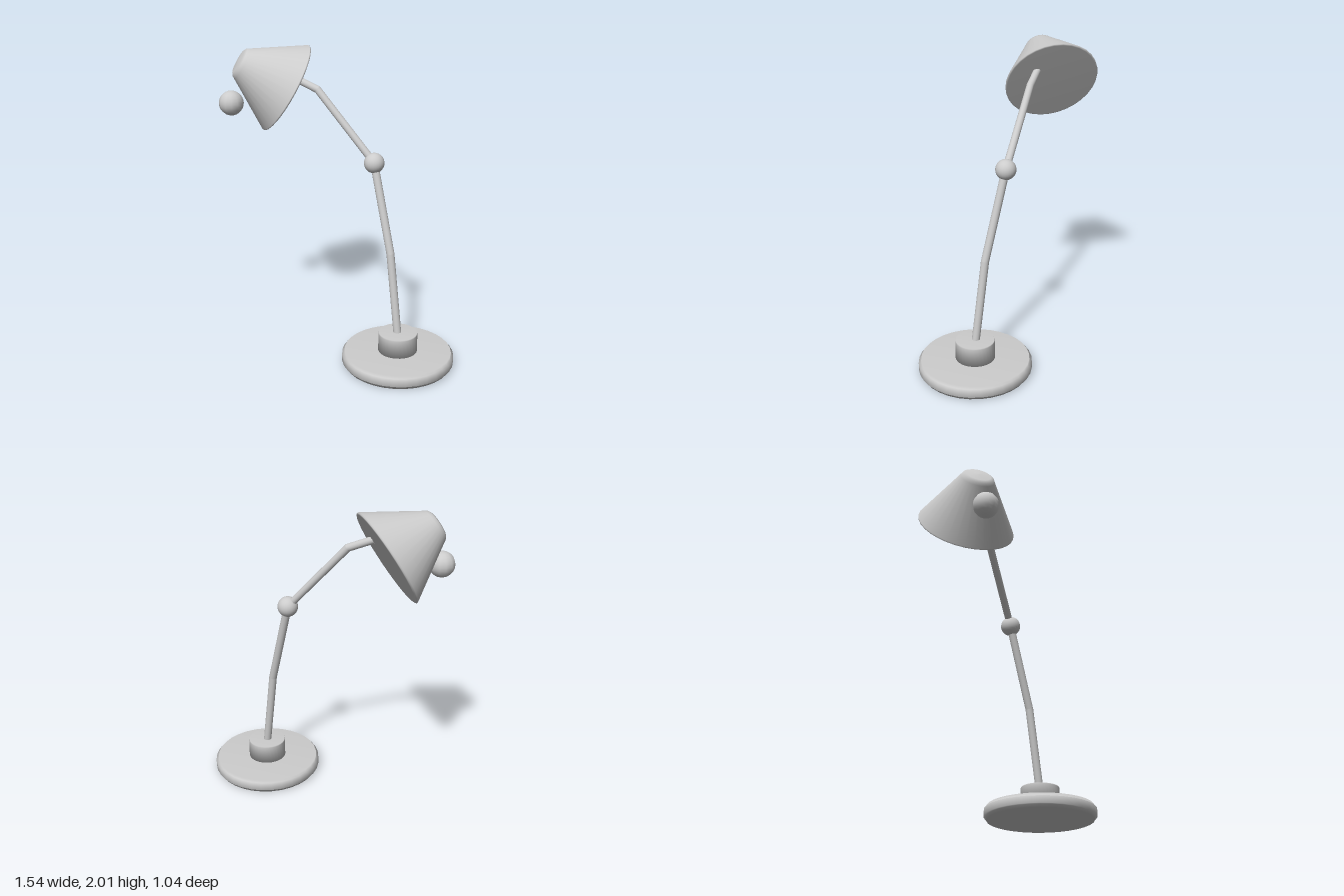
import * as THREE from 'three';

const V = (x, y, z) => new THREE.Vector3(x, y, z);
const UP = V(0, 1, 0);

export function createModel() {
  const lamp = new THREE.Group();
  lamp.name = 'deskLamp';
  const grey = new THREE.MeshStandardMaterial({ color: 0xcccccc });
  grey.name = 'light grey';

  const add = (name, geometry, position) => {
    const mesh = new THREE.Mesh(geometry, grey);
    mesh.name = name;
    mesh.position.copy(position);
    lamp.add(mesh);
    return mesh;
  };
  // Smooth turned part from [radius, height] pairs, bottom to top
  const turned = (pairs) =>
    new THREE.LatheGeometry(pairs.map(([r, y]) => new THREE.Vector2(r, y)), 32);
  const ball = (name, r, p, w = 24, h = 16) =>
    add(name, new THREE.SphereGeometry(r, w, h), p);
  // Straight round rod between two points
  const rod = (name, a, b, r) => {
    const d = b.clone().sub(a);
    const mesh = add(name, new THREE.CylinderGeometry(r, r, d.length(), 16),
      a.clone().add(b).multiplyScalar(0.5));
    mesh.quaternion.setFromUnitVectors(UP, d.normalize());
  };

  // Foot and hub
  const foot = V(0.397, 0, -0.153);
  add('base', turned([[0, 0], [0.35, 0], [0.352, 0.02], [0.367, 0.022],
    [0.367, 0.068], [0.352, 0.07], [0.35, 0.09], [0, 0.09]]), foot);
  add('hub', turned([[0, 0.085], [0.128, 0.085], [0.128, 0.21],
    [0.125, 0.217], [0, 0.217]]), foot);

  // Bent lower arm, hinge ball and bent upper arm
  const hinge = V(0.135, 1.31, -0.153);
  const lower = [V(0.396, 0.18, -0.153), V(0.308, 0.74, -0.153), hinge];
  const upper = [hinge, V(-0.225, 1.75, 0.025), V(-0.36, 1.815, 0.106)];
  for (const [name, path, r] of [['lowerArm', lower, 0.026], ['upperArm', upper, 0.024]]) {
    rod(name, path[0], path[1], r);
    ball(name + 'Bend', r, path[1], 16, 10);
    rod(name + 'End', path[1], path[2], r);
  }
  ball('hingeBall', 0.066, hinge);

  // Conical shade, closed across its mouth and tilted down and back
  const shade = add('shade', turned([[0, 0], [0.305, 0], [0.314, 0.004], [0.314, 0.012],
    [0.11, 0.335], [0.1, 0.352], [0.08, 0.363], [0, 0.368]]), V(-0.48, 1.73, 0.09));
  shade.quaternion.setFromUnitVectors(UP, V(-0.38, 0.51, 0.77).normalize());

  // Round bulb in front of the shade
  ball('bulb', 0.081, V(-0.612, 1.653, 0.438), 12, 12);
  return lamp;
}
